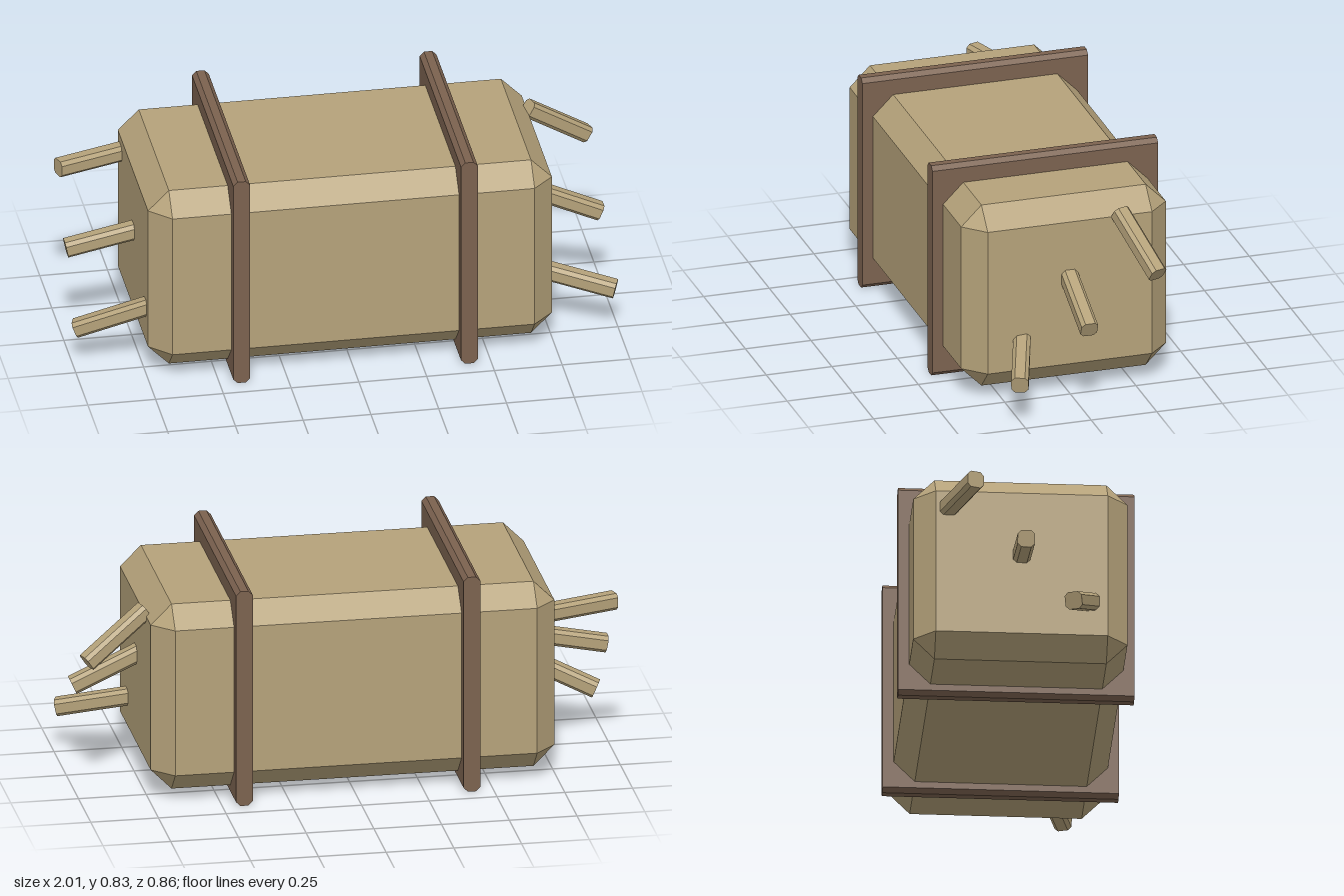
import * as THREE from 'three';
import { ConvexGeometry } from 'three/addons/geometries/ConvexGeometry.js';

const hay = new THREE.MeshStandardMaterial({ color: 0xb5a27a, flatShading: true });
const strapBrown = new THREE.MeshStandardMaterial({ color: 0x7b624f, flatShading: true });

// Box with every edge cut at 45 degrees, centred on the origin
function chamferedBox(w, h, d, c) {
  const points = [];
  const [x, y, z] = [w / 2, h / 2, d / 2];
  for (const sx of [-1, 1]) for (const sy of [-1, 1]) for (const sz of [-1, 1]) {
    points.push(
      new THREE.Vector3(sx * x, sy * (y - c), sz * (z - c)),
      new THREE.Vector3(sx * (x - c), sy * y, sz * (z - c)),
      new THREE.Vector3(sx * (x - c), sy * (y - c), sz * z));
  }
  return new ConvexGeometry(points);
}

// Bar along z with a rectangular section whose four corners are cut
function chamferedBar(w, h, length, c) {
  const [x, y] = [w / 2, h / 2];
  const section = new THREE.Shape([
    [x, c - y], [x, y - c], [x - c, y], [c - x, y],
    [-x, y - c], [-x, c - y], [c - x, -y], [x - c, -y],
  ].map(([px, py]) => new THREE.Vector2(px, py)));
  return new THREE.ExtrudeGeometry(section, { depth: length, bevelEnabled: false });
}

export function createModel() {
  const model = new THREE.Group();
  model.name = 'hayBale';
  const add = (name, geometry, material) => {
    const mesh = new THREE.Mesh(geometry, material);
    mesh.name = name;
    model.add(mesh);
    return mesh;
  };

  // Bale body
  add('baleBody', chamferedBox(1.49, 0.715, 0.78, 0.077), hay).position.y = 0.398;

  // Two flat straps around the bale
  for (const side of [-1, 1]) {
    add(side > 0 ? 'leftStrap' : 'rightStrap', chamferedBar(0.062, 0.83, 0.86, 0.016), strapBrown)
      .position.set(side * 0.42, 0.415, -0.43);
  }

  // Loose straws: point where each leaves the bale, tip, and length hidden inside
  const straws = [
    ['leftUpperStraw', [0.745, 0.693, -0.19], [0.972, 0.53, -0.262], 0],
    ['leftMiddleStraw', [0.745, 0.455, 0], [0.978, 0.348, 0], 0.05],
    ['leftLowerStraw', [0.745, 0.224, 0.183], [0.988, 0.168, 0.268], 0.05],
    ['rightUpperStraw', [-0.745, 0.615, -0.265], [-0.989, 0.615, -0.184], 0.05],
    ['rightMiddleStraw', [-0.745, 0.432, 0], [-0.993, 0.382, 0], 0.05],
    ['rightLowerStraw', [-0.745, 0.25, 0.25], [-0.987, 0.142, 0.172], 0.05],
  ];
  for (const [name, root, tip, hidden] of straws) {
    const end = new THREE.Vector3(...tip);
    const start = new THREE.Vector3(...root);
    const direction = end.clone().sub(start).normalize();
    start.addScaledVector(direction, -hidden);
    const straw = add(name, chamferedBar(0.063, 0.063, start.distanceTo(end), 0.013), hay);
    straw.position.copy(start);
    straw.lookAt(end);
  }
  return model;
}
